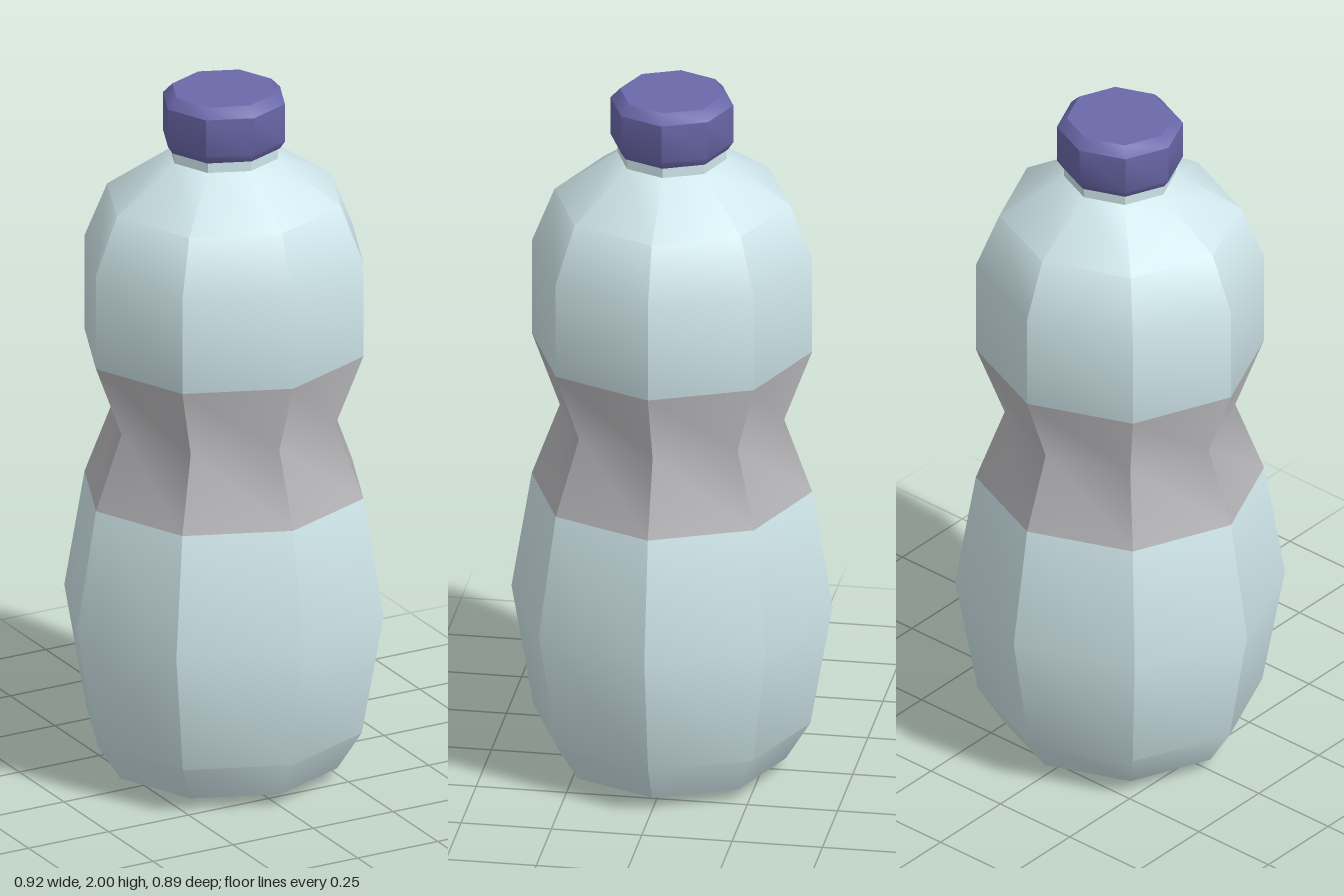
import * as THREE from 'three';
import { toCreasedNormals } from 'three/addons/utils/BufferGeometryUtils.js';

const SIDES = 8;
const DEPTH = 0.97; // slightly shallower than wide

// Eight-sided turned shape: smooth up the height, sharp between facets
function turned(profile) {
  const points = profile.map(([r, y]) => new THREE.Vector2(r, y));
  const geometry = new THREE.LatheGeometry(points, SIDES);
  geometry.scale(1, 1, DEPTH);
  return toCreasedNormals(geometry, 0.69);
}

// Keep only the triangles whose centre lies between two heights
function slice(geometry, low, high) {
  const pos = geometry.attributes.position;
  const nor = geometry.attributes.normal;
  const p = [], n = [];
  for (let i = 0; i < pos.count; i += 3) {
    const y = (pos.getY(i) + pos.getY(i + 1) + pos.getY(i + 2)) / 3;
    if (y < low || y > high) continue;
    for (let k = i; k < i + 3; k++) {
      p.push(pos.getX(k), pos.getY(k), pos.getZ(k));
      n.push(nor.getX(k), nor.getY(k), nor.getZ(k));
    }
  }
  const part = new THREE.BufferGeometry();
  part.setAttribute('position', new THREE.Float32BufferAttribute(p, 3));
  part.setAttribute('normal', new THREE.Float32BufferAttribute(n, 3));
  return part;
}

export function createModel() {
  const group = new THREE.Group();
  const add = (name, geometry, color) => {
    const mesh = new THREE.Mesh(geometry, new THREE.MeshStandardMaterial({ color }));
    mesh.name = name;
    group.add(mesh);
  };

  // Bottle: shallow pointed base, belly, pinched waist, shoulder and neck
  const bottle = turned([
    [0, 0], [0.325, 0.035], [0.395, 0.145], [0.458, 0.495], [0.4, 0.835],
    [0.32, 1.045],
    [0.4, 1.253], [0.4, 1.528], [0.335, 1.687], [0.155, 1.81], [0.155, 1.86],
  ]);
  add('lowerBody', slice(bottle, 0, 0.835), 0xcfe6ea);
  add('waistBand', slice(bottle, 0.835, 1.253), 0xb9b9bc);
  add('upperBody', slice(bottle, 1.253, 2), 0xcfe6ea);

  // Screw cap with bevelled rims
  add('cap', turned([
    [0, 1.84], [0.16, 1.84], [0.175, 1.862], [0.175, 1.972], [0.148, 2], [0, 2],
  ]), 0x6b68aa);

  return group;
}
